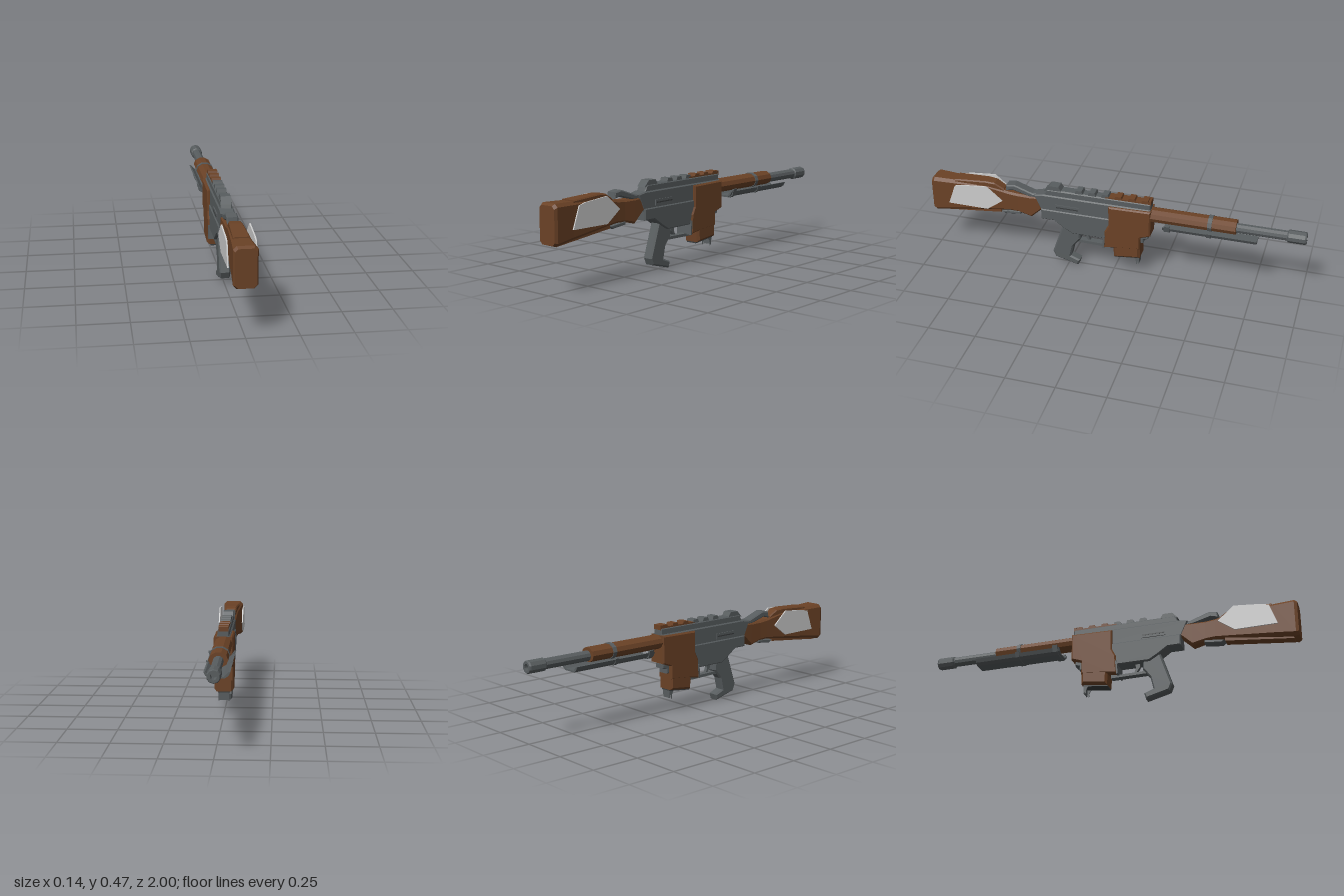
import * as THREE from 'three';

const brown = new THREE.MeshStandardMaterial({ color: 0x6b4226 });
brown.name = 'walnut brown';
const grey = new THREE.MeshStandardMaterial({ color: 0x585d5f });
grey.name = 'gunmetal grey';
const pale = new THREE.MeshStandardMaterial({ color: 0xcccccc });
pale.name = 'pale silver';
const dark = new THREE.MeshStandardMaterial({ color: 0x3a3d3e });
dark.name = 'dark grey';

export function createModel() {
  const model = new THREE.Group();
  model.name = 'rifle';

  const add = (name, geometry, material) => {
    const mesh = new THREE.Mesh(geometry, material);
    mesh.name = name;
    model.add(mesh);
    return mesh;
  };

  // side outline in [z, y], extruded across x with chamfered edges
  const slab = (name, points, halfWidth, material, bevel = 0, x = 0) => {
    const shape = new THREE.Shape(points.map(([z, y]) => new THREE.Vector2(z, y)));
    const depth = 2 * (halfWidth - bevel);
    const g = new THREE.ExtrudeGeometry(shape, {
      depth, bevelEnabled: bevel > 0, bevelSize: bevel, bevelThickness: bevel, bevelOffset: -bevel, bevelSegments: 1,
    });
    g.translate(0, 0, -depth / 2).rotateY(-Math.PI / 2).translate(x, 0, 0);
    return add(name, g, material);
  };

  const box = (name, x, y, z, w, h, d, material) =>
    add(name, new THREE.BoxGeometry(w, h, d).translate(x, y, z), material);

  // faceted tube along z
  const rod = (name, rx, ry, y, z0, z1, sides, material, open = false) => {
    const g = new THREE.CylinderGeometry(1, 1, z0 - z1, sides, 1, open, Math.PI / sides);
    g.rotateX(Math.PI / 2).scale(rx, ry, 1).translate(0, y, (z0 + z1) / 2);
    const flat = g.toNonIndexed();
    flat.computeVertexNormals();
    return add(name, flat, material);
  };

  // octagonal loft from sections [z, bottom, top, halfWidth, chamfer], back to front
  const loft = (name, sections, material) => {
    const rings = sections.map(([z, b, t, w, c]) => [
      [w - c, b, z], [w, b + c, z], [w, t - c, z], [w - c, t, z],
      [c - w, t, z], [-w, t - c, z], [-w, b + c, z], [c - w, b, z],
    ]);
    const out = [];
    const last = rings[rings.length - 1];
    for (let i = 0; i < rings.length - 1; i++) {
      for (let j = 0; j < 8; j++) {
        const k = (j + 1) % 8;
        const [a, b, c, d] = [rings[i][j], rings[i][k], rings[i + 1][j], rings[i + 1][k]];
        out.push(...a, ...c, ...b, ...b, ...c, ...d);
      }
    }
    for (let j = 1; j < 7; j++) {
      out.push(...rings[0][0], ...rings[0][j], ...rings[0][j + 1]);
      out.push(...last[0], ...last[j + 1], ...last[j]);
    }
    const g = new THREE.BufferGeometry();
    g.setAttribute('position', new THREE.Float32BufferAttribute(out, 3));
    g.computeVertexNormals();
    return add(name, g, material);
  };

  // shoulder stock, cheek rest and neck fittings
  loft('stock', [
    [1, 0.24, 0.425, 0.05, 0.015], [0.985, 0.235, 0.435, 0.057, 0.016], [0.88, 0.25, 0.432, 0.049, 0.015],
    [0.68, 0.275, 0.425, 0.037, 0.012], [0.57, 0.288, 0.4, 0.032, 0.01], [0.52, 0.285, 0.395, 0.031, 0.01],
    [0.45, 0.268, 0.395, 0.033, 0.01], [0.39, 0.325, 0.4, 0.034, 0.01],
  ], brown);
  loft('cheekRest', [
    [0.87, 0.41, 0.437, 0.04, 0.006], [0.7, 0.41, 0.446, 0.033, 0.006], [0.65, 0.4, 0.442, 0.03, 0.006],
    [0.6, 0.39, 0.412, 0.026, 0.006],
  ], brown);
  slab('stockTang', [[0.59, 0.405], [0.585, 0.44], [0.54, 0.447], [0.44, 0.412], [0.39, 0.412], [0.39, 0.385],
    [0.46, 0.39], [0.55, 0.415]], 0.028, grey, 0.006);
  slab('neckUnderplate', [[0.62, 0.277], [0.51, 0.29], [0.51, 0.272], [0.6, 0.262]], 0.026, grey, 0.004);
  slab('stockKeel', [[0.97, 0.25], [0.62, 0.285], [0.62, 0.268], [0.97, 0.23]], 0.026, brown);

  // pale side panels
  for (const side of [1, -1]) {
    slab('stockPanel', [[0.9, 0.305], [0.86, 0.415], [0.82, 0.425], [0.68, 0.438], [0.595, 0.365], [0.68, 0.303]],
      0.0035, pale, 0, side * 0.0665);
  }

  // receiver
  slab('upperReceiver', [[0.43, 0.41], [0.38, 0.42], [-0.2, 0.42], [-0.2, 0.32], [0.39, 0.32]], 0.036, grey, 0.006);
  slab('lowerReceiver', [[0.39, 0.335], [0, 0.335], [-0.01, 0.21], [0.22, 0.21], [0.27, 0.24], [0.32, 0.275],
    [0.39, 0.275]], 0.042, grey, 0.005);
  for (const side of [1, -1]) {
    box('ejectionPort', side * 0.037, 0.358, 0.245, 0.008, 0.03, 0.13, grey);
    box('portSlot', side * 0.041, 0.358, 0.245, 0.002, 0.006, 0.12, dark);
  }

  // top rail with teeth and rear sight
  slab('rail', [[0.38, 0.415], [0.36, 0.452], [-0.2, 0.452], [-0.2, 0.41]], 0.029, grey, 0.006);
  box('railFrontCap', 0, 0.453, -0.08, 0.05, 0.008, 0.24, brown);
  for (let i = 0; i < 6; i++) {
    const z = 0.185 - i * 0.071;
    slab('railTooth', [[z + 0.022, 0.45], [z + 0.015, 0.468], [z - 0.015, 0.468], [z - 0.022, 0.45]],
      0.025, i < 3 ? grey : brown);
  }
  box('railFrontStop', 0, 0.455, -0.195, 0.05, 0.024, 0.012, brown);
  slab('rearSight', [[0.375, 0.44], [0.345, 0.473], [0.295, 0.473], [0.28, 0.45]], 0.026, grey);

  // magazine well and magazine
  slab('magazineWell', [[0.02, 0.412], [-0.205, 0.416], [-0.205, 0.27], [-0.15, 0.25], [-0.15, 0.18], [0, 0.165],
    [0.045, 0.158], [0.04, 0.26], [0.02, 0.3]], 0.05, brown, 0.007);
  slab('magazine', [[0, 0.24], [-0.15, 0.25], [-0.15, 0.122], [-0.01, 0.106]], 0.049, brown, 0.012);
  slab('magazineBase', [[-0.01, 0.112], [-0.145, 0.13], [-0.145, 0.115], [-0.01, 0.099]], 0.03, dark);
  slab('wellRearPlate', [[0.052, 0.155], [0.047, 0.23], [0.038, 0.23], [0.043, 0.155]], 0.049, grey);
  slab('magazineCatch', [[-0.14, 0.262], [-0.19, 0.262], [-0.19, 0.24], [-0.165, 0.235], [-0.165, 0.21],
    [-0.14, 0.21]], 0.03, grey, 0.004);
  for (const side of [1, -1]) {
    slab('feedLip', [[-0.11, 0.12], [-0.145, 0.12], [-0.13, 0.068], [-0.125, 0.1]], 0.002, grey, 0, side * 0.026);
  }
  box('feedTongue', 0, 0.1, -0.14, 0.05, 0.05, 0.004, grey);

  // pistol grip, trigger and guard
  slab('pistolGrip', [[0.275, 0.25], [0.335, 0.07], [0.32, 0.035], [0.195, 0.002], [0.185, 0.035], [0.235, 0.055],
    [0.22, 0.12], [0.18, 0.17], [0.18, 0.25]], 0.028, grey, 0.008);
  slab('trigger', [[0.165, 0.22], [0.135, 0.22], [0.14, 0.19], [0.13, 0.165], [0.142, 0.165], [0.16, 0.19]],
    0.009, grey);
  slab('triggerGuard', [[0.2, 0.163], [0.03, 0.16], [0.005, 0.165], [0.005, 0.145], [0.2, 0.148]], 0.018, grey);

  // handguard, barrel and muzzle
  rod('handguard', 0.047, 0.037, 0.381, -0.2, -0.645, 10, brown);
  rod('barrel', 0.026, 0.026, 0.376, -0.64, -0.92, 10, grey);
  const muzzleProfile = [[0.024, 0], [0.033, 0.008], [0.033, 0.092], [0.029, 0.1], [0.016, 0.1], [0.016, 0.04], [0, 0.04]];
  const muzzle = new THREE.LatheGeometry(muzzleProfile.map(([r, y]) => new THREE.Vector2(r, y)), 10);
  muzzle.rotateX(-Math.PI / 2).translate(0, 0.375, -0.9);
  const flatMuzzle = muzzle.toNonIndexed();
  flatMuzzle.computeVertexNormals();
  add('muzzle', flatMuzzle, grey);
  rod('handguardBand', 0.05, 0.041, 0.381, -0.5, -0.522, 10, grey);

  // open trough under the handguard, held by two straps
  const channel = (name, top, bottom, half, wall, z0, z1) => {
    const pts = [[-half, top], [-half * 0.85, bottom + 0.012], [-half * 0.55, bottom], [half * 0.55, bottom],
      [half * 0.85, bottom + 0.012], [half, top], [half - wall, top], [half * 0.5, bottom + wall],
      [-half * 0.5, bottom + wall], [wall - half, top]];
    const shape = new THREE.Shape(pts.map(([x, y]) => new THREE.Vector2(x, y)));
    const g = new THREE.ExtrudeGeometry(shape, { depth: z0 - z1, bevelEnabled: false });
    add(name, g.translate(0, 0, z1), grey);
  };
  channel('trough', 0.347, 0.316, 0.062, 0.008, -0.27, -0.755);
  channel('rearStrap', 0.36, 0.312, 0.069, 0.01, -0.28, -0.308);
  channel('frontStrap', 0.352, 0.313, 0.066, 0.01, -0.5, -0.522);

  return model;
}
